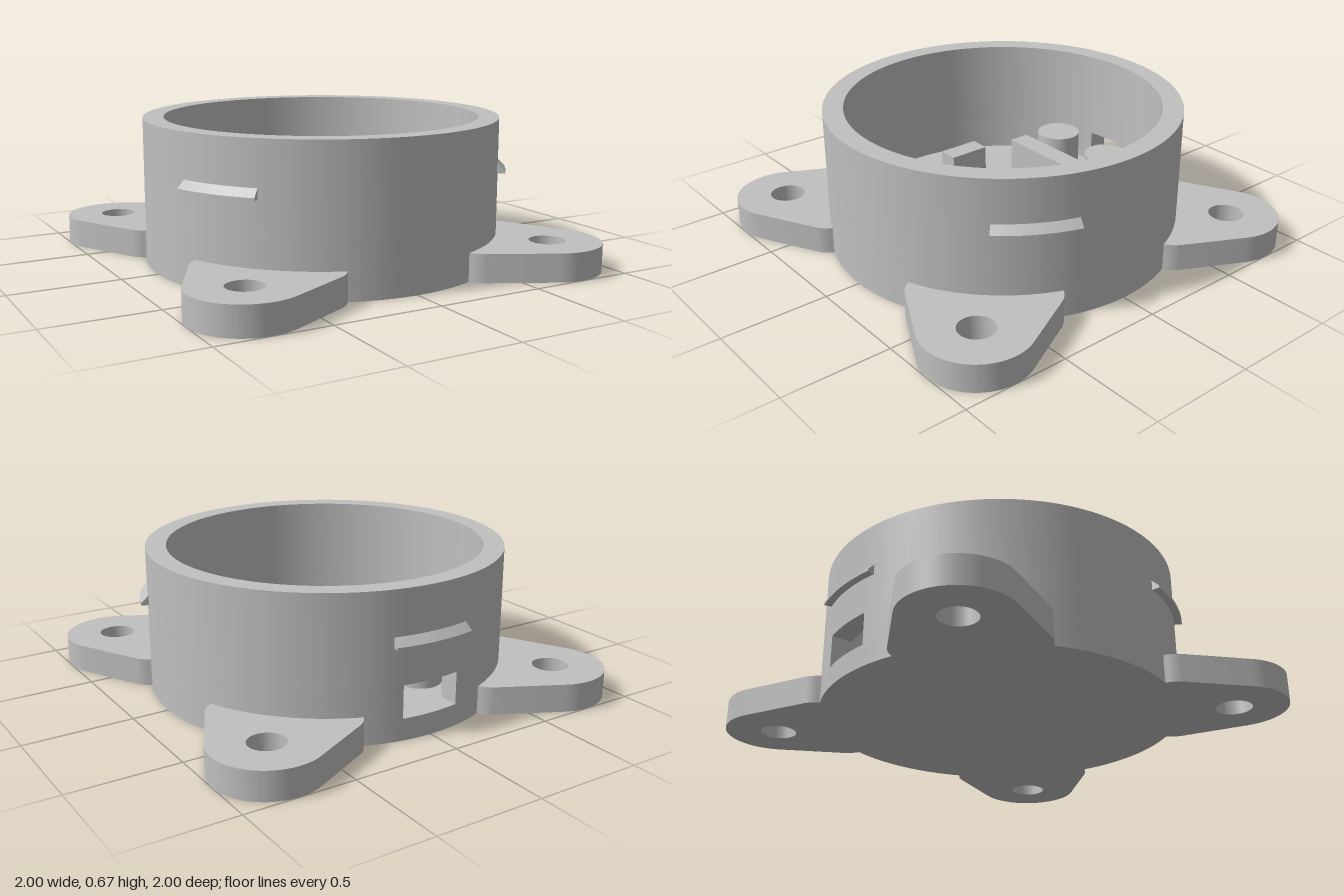
import * as THREE from 'three';
import { toCreasedNormals } from 'three/addons/utils/BufferGeometryUtils.js';

const R = 0.83, RI = 0.735, FLOOR = 0.1, TOP = 0.67, WIN_TOP = 0.25, WIN_HALF = 0.14;

export function createModel() {
  const model = new THREE.Group();
  model.name = 'sensorHousing';
  const grey = new THREE.MeshStandardMaterial({ color: 0xc0c0c0 });
  grey.name = 'lightGrey';

  const add = (name, geometry, parent = model) => {
    const mesh = new THREE.Mesh(geometry, grey);
    mesh.name = name;
    parent.add(mesh);
    return mesh;
  };
  // Extrudes a plan shape (shape y = -z) upward from y0 to y1
  const slab = (shape, y0, y1, curveSegments = 96) => {
    const g = new THREE.ExtrudeGeometry(shape, { depth: y1 - y0, bevelEnabled: false, curveSegments });
    g.rotateX(-Math.PI / 2).translate(0, y0, 0);
    return toCreasedNormals(g, 0.6);
  };
  const circle = (Type, x, y, r) => new Type().absarc(x, y, r, 0, Math.PI * 2, false);

  // Cup: solid floor, wall band with the rear window, full wall above
  add('floor', slab(circle(THREE.Shape, 0, 0, R), 0, FLOOR));

  const a0 = Math.asin(WIN_HALF / R), a1 = Math.asin(WIN_HALF / RI);
  const open = new THREE.Shape();
  open.absarc(0, 0, R, Math.PI / 2 + a0, Math.PI * 2.5 - a0, false);
  open.absarc(0, 0, RI, Math.PI * 2.5 - a1, Math.PI / 2 + a1, true);
  add('windowWall', slab(open, FLOOR, WIN_TOP));

  const ring = circle(THREE.Shape, 0, 0, R);
  ring.holes.push(circle(THREE.Path, 0, 0, RI));
  add('upperWall', slab(ring, WIN_TOP, TOP));

  // Four tapered mounting ears with screw holes
  const ear = new THREE.Shape();
  const c = 0.755, tilt = THREE.MathUtils.degToRad(29);
  ear.moveTo(0.77, 0.303);
  ear.lineTo(0.778, 0.31);
  ear.quadraticCurveTo(0.81, 0.33, 0.826, 0.358);
  ear.absarc(c, c, 0.245, -tilt, Math.PI / 2 + tilt, false);
  ear.lineTo(0.358, 0.826);
  ear.quadraticCurveTo(0.33, 0.81, 0.31, 0.778);
  ear.lineTo(0.303, 0.77);
  ear.closePath();
  ear.holes.push(circle(THREE.Path, c, c, 0.083));
  const earGeometry = slab(ear, 0, 0.13, 32);
  for (let i = 0; i < 4; i++) {
    add('mountingEar', earGeometry).rotation.y = i * Math.PI / 2;
  }

  // Three wedge-shaped snap ridges, bent around the wall
  const wedge = new THREE.Shape([[0.815, 0.42], [0.865, 0.42], [0.865, 0.432], [0.826, 0.47], [0.815, 0.47]]
    .map(([x, y]) => new THREE.Vector2(x, y)));
  const half = THREE.MathUtils.degToRad(13);
  let ridge = new THREE.ExtrudeGeometry(wedge, { depth: 1, steps: 14, bevelEnabled: false });
  const p = ridge.attributes.position;
  for (let i = 0; i < p.count; i++) {
    const r = p.getX(i), phi = half * (1 - 2 * p.getZ(i));
    p.setXYZ(i, r * Math.sin(phi), p.getY(i), r * Math.cos(phi));
  }
  ridge = toCreasedNormals(ridge, 0.4);
  for (const angle of [Math.PI, Math.PI / 3, -Math.PI / 3]) {
    add('snapRidge', ridge).rotation.y = angle;
  }

  // Raised supports on the floor inside
  const low = FLOOR - 0.02, high = 0.307, h = high - low, mid = (high + low) / 2;
  const supports = new THREE.Group();
  supports.name = 'innerSupports';
  model.add(supports);
  for (const s of [-1, 1]) {
    add('post', new THREE.CylinderGeometry(0.105, 0.105, h, 48), supports).position.set(s * 0.175, mid, -0.515);
    add('crossBar', new THREE.BoxGeometry(0.49, h, 0.1), supports).position.set(0, mid, s * 0.307);
    add('sideBar', new THREE.BoxGeometry(0.096, h, 0.2), supports).position.set(s * 0.307, mid, 0);
  }
  return model;
}
